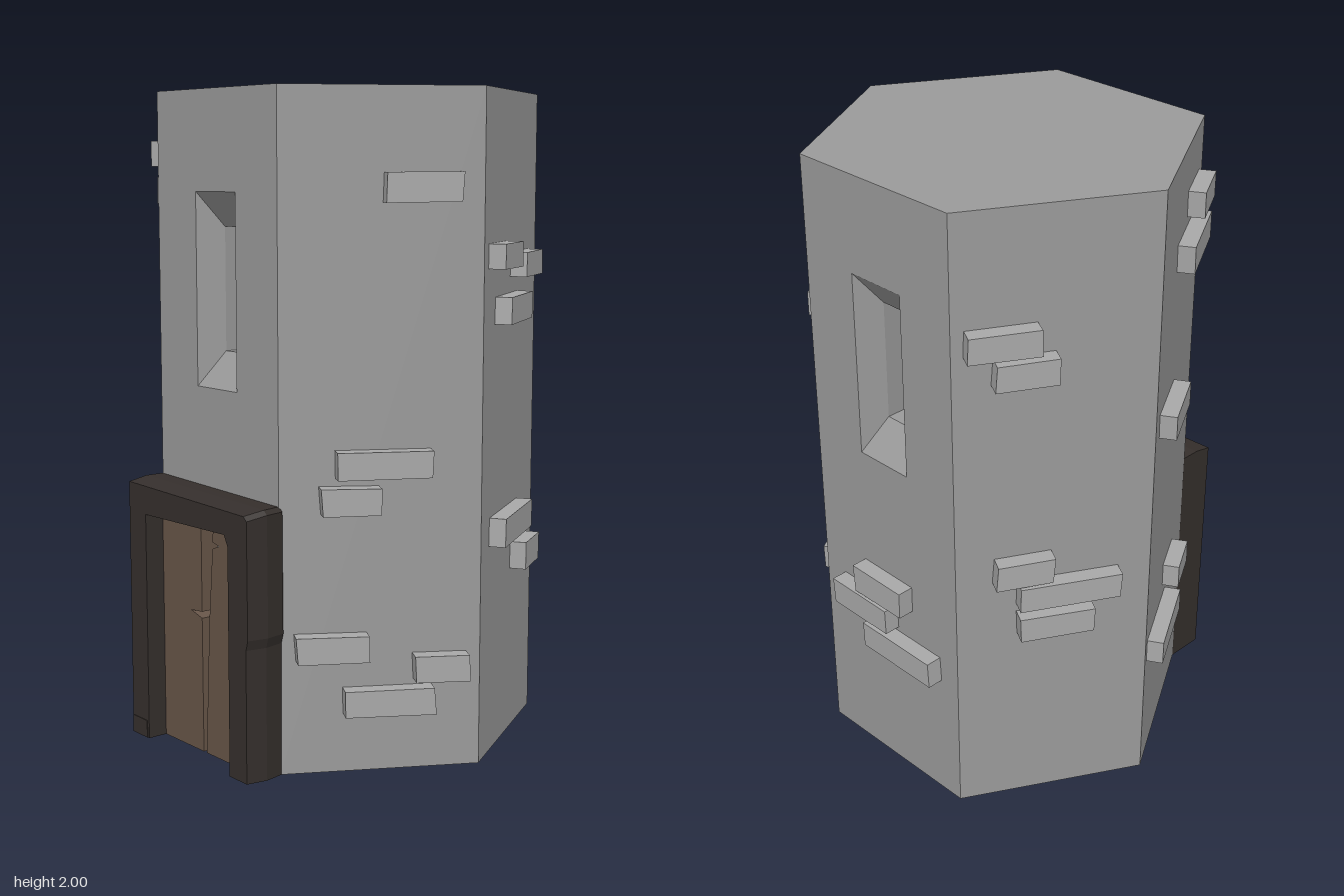
import * as THREE from 'three';
import { mergeGeometries } from 'three/addons/utils/BufferGeometryUtils.js';

const R = 0.6, APOTHEM = R * Math.cos(Math.PI / 6), HEIGHT = 2;
const wallStone = new THREE.MeshStandardMaterial({ color: 0x9b9b9b, flatShading: true });
const brickStone = new THREE.MeshStandardMaterial({ color: 0xa9a9a9, flatShading: true });
const darkWood = new THREE.MeshStandardMaterial({ color: 0x352f2c, flatShading: true });
const doorWood = new THREE.MeshStandardMaterial({ color: 0x675548, flatShading: true });

function mesh(name, geometry, material) {
  const m = new THREE.Mesh(geometry, material);
  m.name = name;
  return m;
}

function shapeOf(points) {
  return new THREE.Shape(points.map(([x, y]) => new THREE.Vector2(x, y)));
}

function extrude(points, depth, z, steps = 1) {
  return new THREE.ExtrudeGeometry(shapeOf(points), { depth, steps, bevelEnabled: false }).translate(0, 0, z);
}

// Corners of a window opening, counter-clockwise seen from the front
const opening = (hw, bottom, top) => [[-hw, bottom], [hw, bottom], [hw, top], [-hw, top]];
const OUTER = opening(0.1, 1.115, 1.7);
const INNER = opening(0.0625, 1.22, 1.595);

// Passage through the tower: splayed at both ends, straight between
function windowPassage() {
  const rings = [[OUTER, APOTHEM], [INNER, APOTHEM - 0.08], [INNER, 0.08 - APOTHEM], [OUTER, -APOTHEM]]
    .map(([pts, z]) => pts.map(([x, y]) => [x, y, z]));
  const pos = [];
  for (let r = 0; r < rings.length - 1; r++) {
    for (let i = 0; i < 4; i++) {
      const j = (i + 1) % 4;
      const a = rings[r][i], b = rings[r][j], c = rings[r + 1][j], d = rings[r + 1][i];
      pos.push(...a, ...b, ...c, ...a, ...c, ...d);
    }
  }
  const g = new THREE.BufferGeometry();
  g.setAttribute('position', new THREE.Float32BufferAttribute(pos, 3));
  g.computeVertexNormals();
  return g;
}

// Hexagonal tower with pierced front and back walls
function towerGeometry() {
  const wall = shapeOf([[-R / 2, 0], [R / 2, 0], [R / 2, HEIGHT], [-R / 2, HEIGHT]]);
  wall.holes.push(new THREE.Path(OUTER.map(([x, y]) => new THREE.Vector2(x, y))));
  const parts = [windowPassage()];
  for (const turn of [0, Math.PI]) {
    parts.push(new THREE.ShapeGeometry(wall).translate(0, 0, APOTHEM).rotateY(turn));
    parts.push(new THREE.CylinderGeometry(R, R, HEIGHT, 2, 1, true, Math.PI / 6 + turn, Math.PI * 2 / 3)
      .translate(0, HEIGHT / 2, 0));
  }
  parts.push(new THREE.CircleGeometry(R, 6).rotateX(-Math.PI / 2).translate(0, HEIGHT, 0));
  parts.push(new THREE.CircleGeometry(R, 6).rotateX(Math.PI / 2));
  const flat = parts.map((g) => {
    const f = g.index ? g.toNonIndexed() : g;
    f.deleteAttribute('uv');
    f.computeVertexNormals();
    return f;
  });
  return mergeGeometries(flat);
}

// Raised bricks per wall: wall angle in degrees, then [left, right, bottom, top]
const BRICKS = [
  ['frontLeftBrick', 60, [
    [0, 0.23, 1.67, 1.76], [-0.14, 0.15, 0.88, 0.965], [-0.185, 0, 0.775, 0.86],
    [-0.26, -0.035, 0.34, 0.425], [0.09, 0.265, 0.27, 0.355], [-0.12, 0.16, 0.175, 0.26]]],
  ['backLeftBrick', 120, [
    [-0.26, -0.046, 1.475, 1.555], [-0.01, 0.196, 1.44, 1.52], [-0.18, 0.075, 1.31, 1.395],
    [-0.215, 0.11, 0.645, 0.735], [0.035, 0.21, 0.52, 0.61]]],
  ['frontRightBrick', -60, [
    [0.06, 0.25, 1.77, 1.855], [-0.08, 0.21, 1.655, 1.745], [-0.25, -0.01, 1.2, 1.285],
    [-0.04, 0.13, 0.53, 0.615], [-0.28, 0.03, 0.405, 0.49]]],
  ['backRightBrick', -120, [
    [-0.27, -0.05, 1.575, 1.66], [-0.19, 0, 1.48, 1.565], [-0.19, -0.01, 0.82, 0.905],
    [-0.12, 0.2, 0.73, 0.815], [-0.12, 0.12, 0.62, 0.705]]],
  ['backBrick', 180, [
    [-0.11, 0.11, 0.63, 0.725], [-0.215, 0.04, 0.535, 0.625], [-0.08, 0.23, 0.435, 0.525]]],
];

// A brick with slightly skewed ends, its back sunk into the wall
function brickGeometry([left, right, bottom, top], seed) {
  const out = 0.052, sink = 0.02;
  const g = new THREE.BoxGeometry(right - left, top - bottom, out + sink);
  const p = g.attributes.position;
  for (let i = 0; i < p.count; i++) {
    const x = p.getX(i), y = p.getY(i);
    const corner = (x > 0 ? 1 : 0) + (y > 0 ? 2 : 0);
    const n = Math.sin(seed * 12.9 + corner * 7.3);
    p.setXY(i, x - Math.sign(x) * 0.008 * Math.abs(n), y - Math.sign(y) * 0.004 * Math.abs(n));
  }
  g.translate((left + right) / 2, (bottom + top) / 2, APOTHEM + (out - sink) / 2);
  return g;
}

// Heavy wooden surround: top edge worn at the front, left side bulging at mid depth
function doorFrameGeometry() {
  const back = APOTHEM - 0.005, depth = 0.128;
  const g = extrude([
    [-0.303, 0], [-0.213, 0], [-0.213, 0.715], [0.2, 0.722], [0.217, 0.69], [0.217, 0], [0.302, 0],
    [0.303, 0.4], [0.312, 0.43], [0.31, 0.79], [0.295, 0.803], [-0.303, 0.818]], depth, back, 2);
  const p = g.attributes.position;
  for (let i = 0; i < p.count; i++) {
    const t = (p.getZ(i) - back) / depth;
    if (t > 0.4 && t < 0.6 && p.getX(i) > 0.29) p.setX(i, p.getX(i) + 0.012);
    if (t > 0.9 && p.getY(i) > 0.75) p.setY(i, p.getY(i) - 0.012);
  }
  g.computeVertexNormals();
  return g;
}

export function createModel() {
  const model = new THREE.Group();
  model.name = 'tower';
  model.position.set(0.01, 0, -0.038);
  model.add(mesh('towerWalls', towerGeometry(), wallStone));

  // Bricks
  let seed = 1;
  for (const [name, degrees, list] of BRICKS) {
    const wall = new THREE.Group();
    wall.name = name + 's';
    wall.rotation.y = THREE.MathUtils.degToRad(degrees);
    for (const b of list) wall.add(mesh(name, brickGeometry(b, seed++), brickStone));
    model.add(wall);
  }

  // Door: two leaves with a widening gap and a cracked edge
  const door = new THREE.Group();
  door.name = 'door';
  door.add(mesh('doorFrame', doorFrameGeometry(), darkWood));
  const foot = mesh('frameFoot', new THREE.BoxGeometry(0.08, 0.055, 0.13), darkWood);
  foot.position.set(-0.262, 0.0275, APOTHEM + 0.06);
  door.add(foot);
  door.add(mesh('rightLeaf', extrude([
    [-0.215, 0], [-0.005, 0], [-0.006, 0.42], [-0.065, 0.435], [-0.006, 0.44], [-0.006, 0.725], [-0.215, 0.725],
  ], 0.06, APOTHEM), doorWood));
  door.add(mesh('leftLeaf', extrude([
    [0.01, 0], [0.22, 0], [0.22, 0.725], [0.058, 0.725], [0.052, 0.665], [0.085, 0.658], [0.052, 0.645],
    [0.034, 0.44], [0.032, 0.42],
  ], 0.06, APOTHEM), doorWood));
  model.add(door);

  const root = new THREE.Group();
  root.name = 'model';
  root.add(model);
  return root;
}
